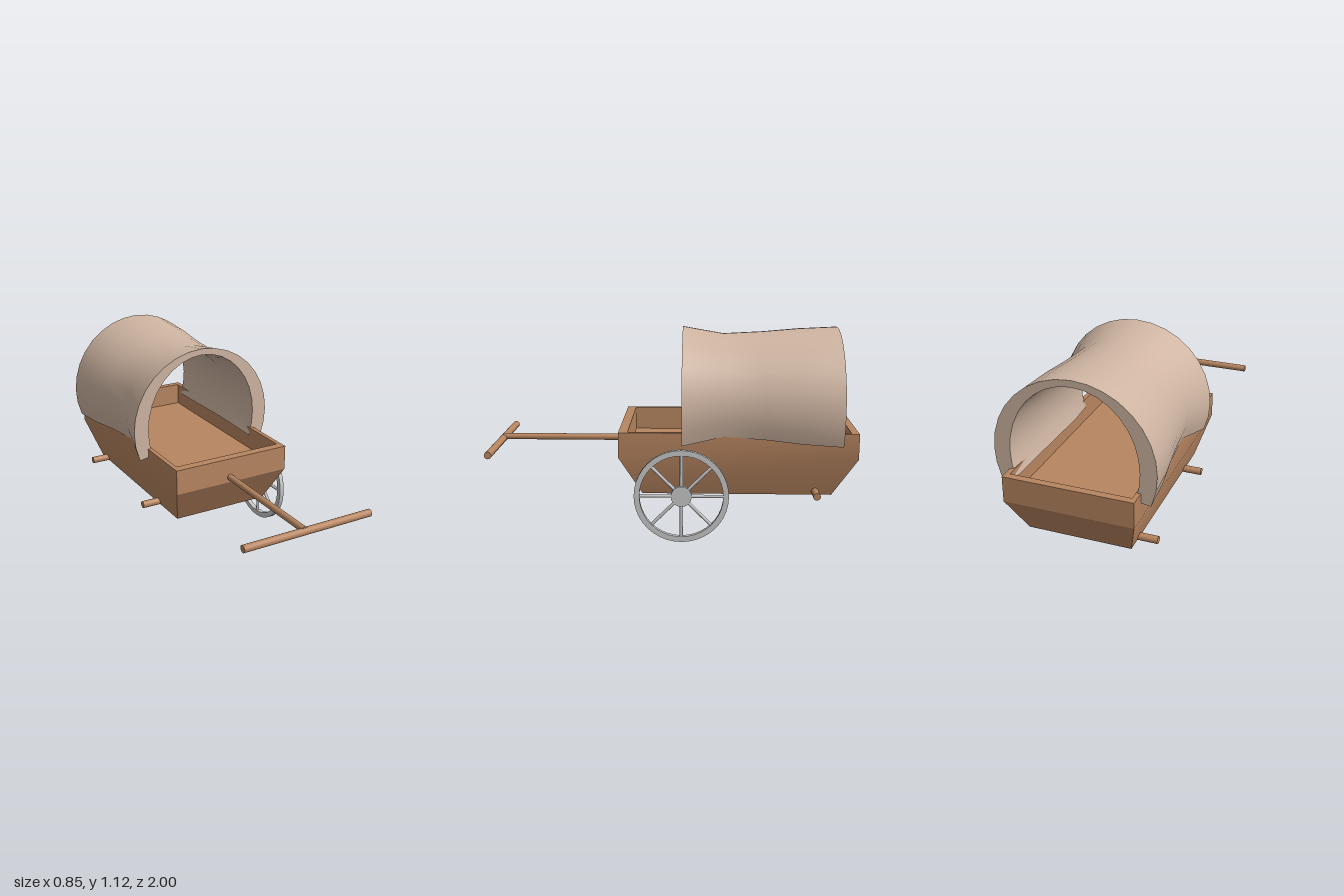
import * as THREE from 'three';
import { toCreasedNormals } from 'three/addons/utils/BufferGeometryUtils.js';

// Skins a stack of equal closed rings and closes both ends with strips.
function loft(rings, crease) {
  const n = rings[0].length;
  const index = [];
  const quad = (a, b, c, d) => index.push(a, b, c, a, c, d);
  for (let r = 0; r < rings.length - 1; r++) {
    for (let i = 0; i < n; i++) {
      const j = (i + 1) % n;
      quad(r * n + i, r * n + j, (r + 1) * n + j, (r + 1) * n + i);
    }
  }
  const last = (rings.length - 1) * n;
  for (let i = 0; i < n / 2 - 1; i++) {
    quad(n - 1 - i, n - 2 - i, i + 1, i);
    quad(last + i, last + i + 1, last + n - 2 - i, last + n - 1 - i);
  }
  const geometry = new THREE.BufferGeometry();
  geometry.setAttribute('position', new THREE.Float32BufferAttribute(rings.flat(2), 3));
  geometry.setIndex(index);
  return toCreasedNormals(geometry, crease);
}

export function createModel() {
  const wood = new THREE.MeshStandardMaterial({ color: 0xb78560 });
  wood.name = 'wood';
  const canvas = new THREE.MeshStandardMaterial({ color: 0xcfb5a2 });
  canvas.name = 'canvas';
  const metal = new THREE.MeshStandardMaterial({ color: 0xc8c8c8 });
  metal.name = 'metal';

  const model = new THREE.Group();
  model.name = 'coveredHandcart';
  const add = (name, geometry, material, parent = model) => {
    const mesh = new THREE.Mesh(geometry, material);
    mesh.name = name;
    parent.add(mesh);
    return mesh;
  };

  // Open wagon box: underside, flare, rim, then down the inside to the floor
  const rect = (x, front, back, y) =>
    [[-x, y, front], [x, y, front], [x, y, back], [-x, y, back]];
  add('wagonBox', loft([
    rect(0.28, 0.16, -0.87, 0.235),
    rect(0.345, 0.285, -1, 0.45),
    rect(0.345, 0.285, -1, 0.59),
    rect(0.32, 0.235, -0.96, 0.59),
    rect(0.32, 0.235, -0.96, 0.46),
  ], 0.4), wood);

  // Canopy: thick arch scaled about its middle at each station
  const steps = 20;
  const arch = [];
  for (let i = 0; i <= steps; i++) {
    const a = (i / steps - 0.5) * 2 * 1.95;
    arch.push([-0.427 * Math.sin(a), 0.69 + 0.43 * Math.cos(a)]);
  }
  for (let i = steps; i >= 0; i--) {
    const a = (i / steps - 0.5) * 2 * 1.95;
    arch.push([-0.34 * Math.sin(a), 0.69 + 0.395 * Math.cos(a)]);
  }
  const stations = [[-0.91, 1], [-0.7, 0.965], [-0.5, 0.905], [-0.28, 0.865], [-0.055, 1]];
  add('canopy', loft(stations.map(([z, s]) =>
    arch.map(([x, y]) => [x * s, 0.83 + (y - 0.83) * s, z])), 0.7), canvas);

  // Pull handle and axles
  const rod = (name, radius, length, x, y, z, alongZ) => {
    const mesh = add(name, new THREE.CylinderGeometry(radius, radius, length, 20), wood);
    mesh.position.set(x, y, z);
    if (alongZ) mesh.rotation.x = Math.PI / 2;
    else mesh.rotation.z = Math.PI / 2;
  };
  rod('tongue', 0.018, 0.75, -0.015, 0.48, 0.608, true);
  rod('handleBar', 0.02, 0.755, 0.0125, 0.47, 0.98, false);
  rod('frontAxle', 0.02, 0.78, 0, 0.256, -0.055, false);
  rod('rearAxle', 0.02, 0.78, 0, 0.256, -0.78, false);

  // Single spoked wheel on the left end of the front axle
  const wheel = new THREE.Group();
  wheel.name = 'wheel';
  wheel.position.set(0.393, 0.255, -0.055);
  model.add(wheel);
  const rimProfile = [[0.225, -0.0125], [0.255, -0.0125], [0.255, 0.0125], [0.225, 0.0125], [0.225, -0.0125]]
    .map(([r, h]) => new THREE.Vector2(r, h));
  const rim = add('rim', toCreasedNormals(new THREE.LatheGeometry(rimProfile, 40), 0.6), metal, wheel);
  const hub = add('hub', new THREE.CylinderGeometry(0.056, 0.056, 0.025, 20), metal, wheel);
  rim.rotation.z = hub.rotation.z = Math.PI / 2;
  for (let i = 0; i < 8; i++) {
    const spoke = add('spoke', new THREE.CylinderGeometry(0.009, 0.009, 0.2, 10).translate(0, 0.135, 0), metal, wheel);
    spoke.rotation.x = i * Math.PI / 4;
  }

  return model;
}
